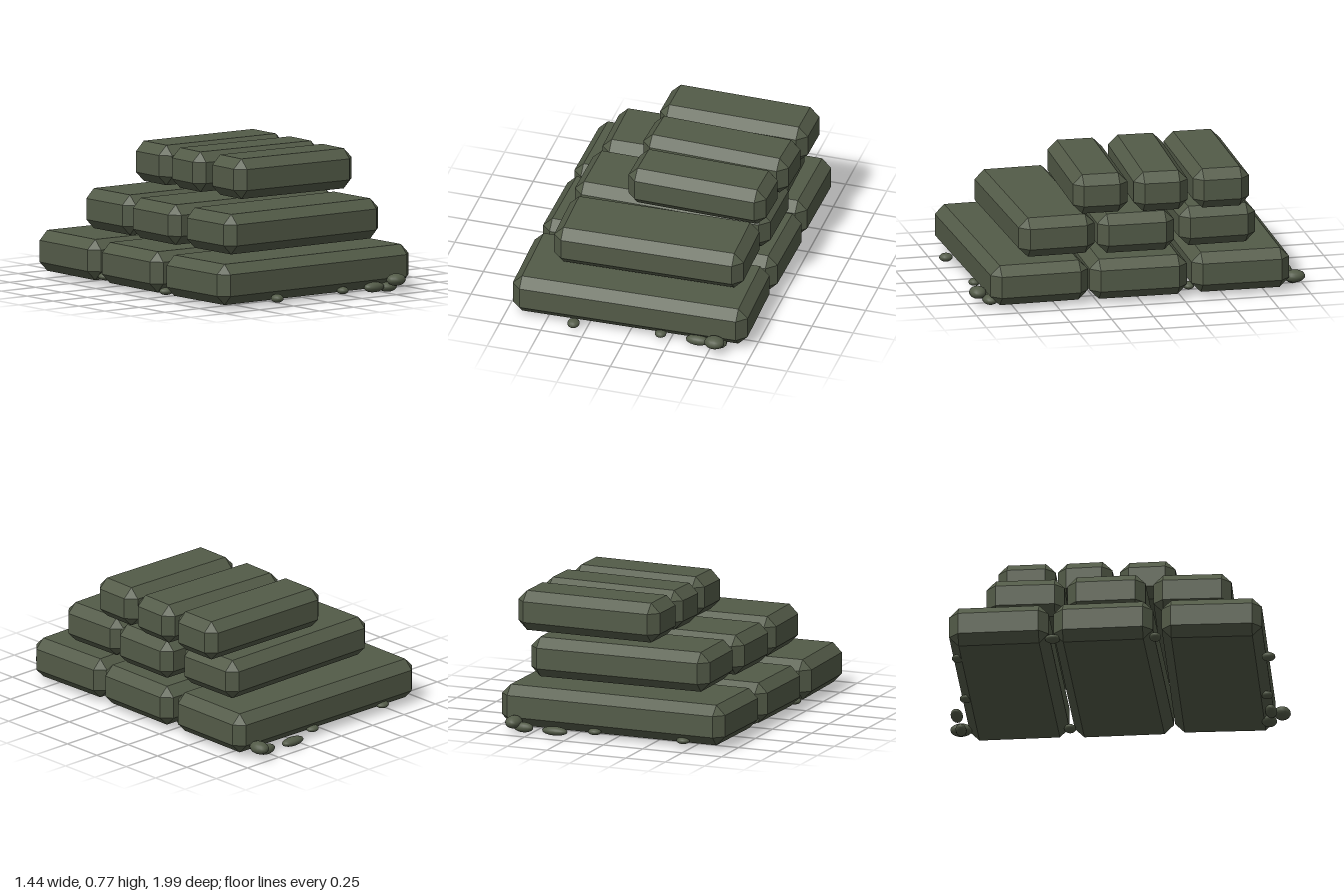
import * as THREE from 'three';
import { ConvexGeometry } from 'three/addons/geometries/ConvexGeometry.js';

const stone = new THREE.MeshStandardMaterial({ color: 0x535b48 });
stone.name = 'mossy stone';

// Box with every edge and corner cut at 45 degrees
function chamferedBox(w, h, d, c) {
  const pts = [];
  for (const sx of [-1, 1]) for (const sy of [-1, 1]) for (const sz of [-1, 1]) {
    const x = w / 2, y = h / 2, z = d / 2;
    pts.push(
      new THREE.Vector3(sx * x, sy * (y - c), sz * (z - c)),
      new THREE.Vector3(sx * (x - c), sy * y, sz * (z - c)),
      new THREE.Vector3(sx * (x - c), sy * (y - c), sz * z));
  }
  return new ConvexGeometry(pts);
}

export function createModel() {
  const model = new THREE.Group();
  model.name = 'stoneSteps';

  // Three courses of slabs: [x min, x max, z centre, depth, turn]
  const courses = [
    { name: 'lowerSlab', y0: 0.03, y1: 0.27, slabs: [
      [-0.715, 0.705, 0.617, 0.585, 0.022],
      [-0.715, 0.715, 0.005, 0.58, -0.012],
      [-0.71, 0.71, -0.606, 0.582, -0.011]] },
    { name: 'middleSlab', y0: 0.288, y1: 0.524, slabs: [
      [-0.52, 0.625, 0.492, 0.455, 0.022],
      [-0.54, 0.655, 0.008, 0.456, -0.012],
      [-0.52, 0.605, -0.478, 0.455, 0.011]] },
    { name: 'upperSlab', y0: 0.542, y1: 0.778, slabs: [
      [-0.17, 0.675, 0.222, 0.325, -0.025],
      [-0.19, 0.705, -0.138, 0.32, -0.037],
      [-0.19, 0.712, -0.487, 0.335, -0.012]] },
  ];
  for (const { name, y0, y1, slabs } of courses) {
    slabs.forEach(([x0, x1, z, depth, turn], i) => {
      const slab = new THREE.Mesh(chamferedBox(x1 - x0, y1 - y0, depth, 0.056), stone);
      slab.name = name + (i + 1);
      slab.position.set((x0 + x1) / 2, (y0 + y1) / 2, z);
      slab.rotation.y = turn;
      model.add(slab);
    });
  }

  // Flattened pebbles around the foot: [x, y, z, rx, ry, rz]
  const pebbles = [
    [0.54, 0.083, 0.945, 0.06, 0.036, 0.05],
    [0.535, 0.034, 0.87, 0.058, 0.03, 0.045],
    [0.42, 0.043, 0.89, 0.07, 0.03, 0.035],
    [0.195, 0.043, 0.885, 0.034, 0.022, 0.035],
    [-0.32, 0.048, 0.935, 0.036, 0.025, 0.04],
    [0.595, 0.072, -0.935, 0.048, 0.037, 0.065],
    [0.535, 0.045, -0.932, 0.062, 0.03, 0.032],
    [0.333, 0.043, -0.94, 0.08, 0.026, 0.036],
    [0.11, 0.045, -0.87, 0.04, 0.02, 0.035],
    [-0.45, 0.045, -0.87, 0.04, 0.02, 0.035],
    [-0.64, 0.06, -0.3, 0.045, 0.022, 0.045],
    [0.6, 0.06, -0.3, 0.045, 0.022, 0.035],
    [-0.65, 0.045, 0.3, 0.045, 0.022, 0.035],
  ];
  const ball = new THREE.SphereGeometry(1, 14, 10);
  pebbles.forEach(([x, y, z, rx, ry, rz], i) => {
    const pebble = new THREE.Mesh(ball, stone);
    pebble.name = 'pebble' + (i + 1);
    pebble.position.set(x, y, z);
    pebble.scale.set(rx, ry, rz);
    model.add(pebble);
  });

  return model;
}
